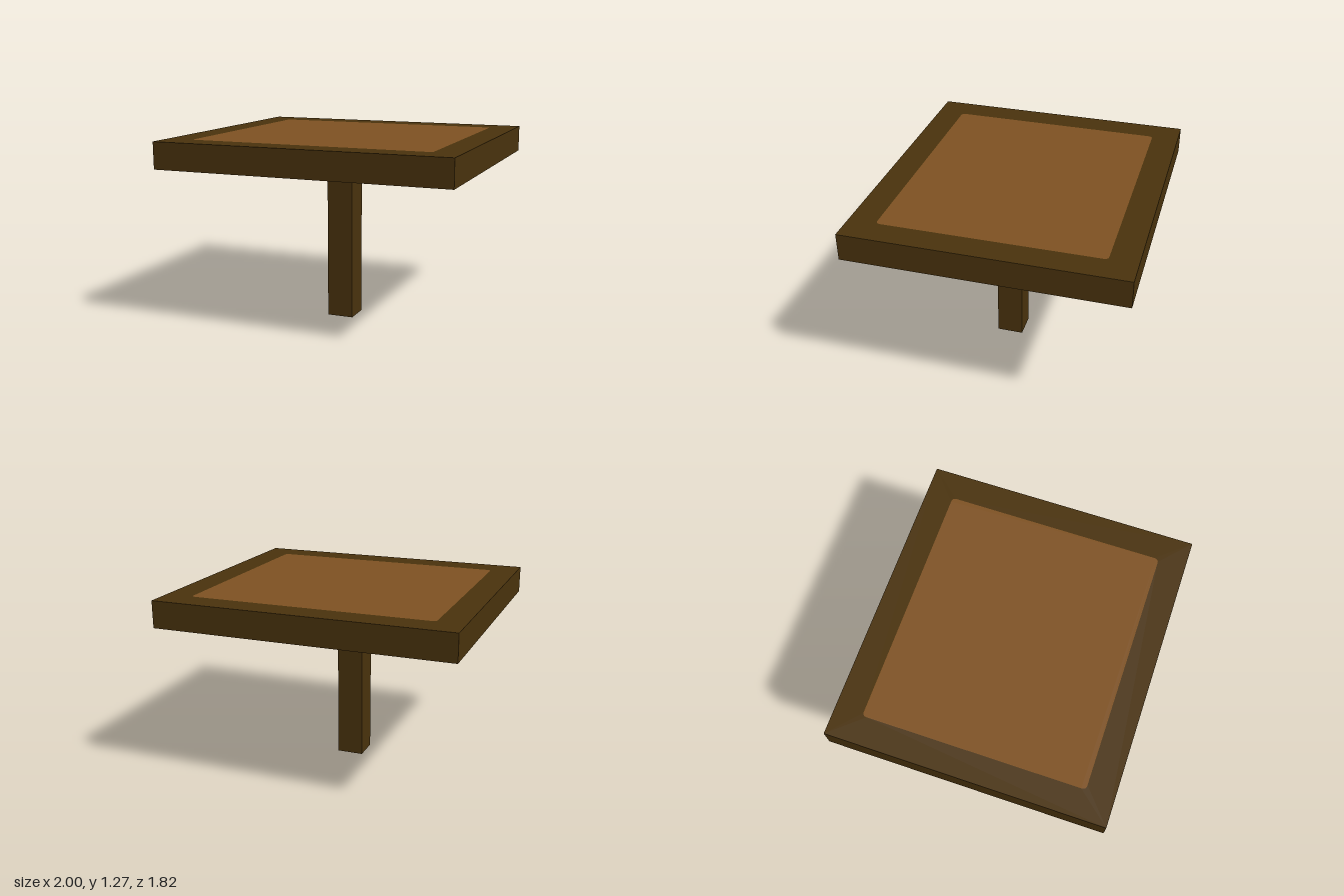
import * as THREE from 'three';

const U = 2 / 11; // width of one square post

// Rectangle path with optionally rounded corners, centred on the origin
function rectangle(PathType, w, d, r) {
  const p = new PathType();
  const x = w / 2, y = d / 2;
  p.moveTo(-x + r, -y);
  p.lineTo(x - r, -y);
  if (r) p.quadraticCurveTo(x, -y, x, -y + r);
  p.lineTo(x, y - r);
  if (r) p.quadraticCurveTo(x, y, x - r, y);
  p.lineTo(-x + r, y);
  if (r) p.quadraticCurveTo(-x, y, -x, y - r);
  p.lineTo(-x, -y + r);
  if (r) p.quadraticCurveTo(-x, -y, -x + r, -y);
  return p;
}

// Horizontal slab lying between y = 6U and y = 7U
function slab(shape, material, name) {
  const geometry = new THREE.ExtrudeGeometry(shape, { depth: U, bevelEnabled: false, curveSegments: 6 });
  geometry.rotateX(-Math.PI / 2);
  const mesh = new THREE.Mesh(geometry, material);
  mesh.position.y = 6 * U;
  mesh.name = name;
  return mesh;
}

export function createModel() {
  const darkWood = new THREE.MeshStandardMaterial({ color: 0x4a330d });
  darkWood.name = 'darkWood';
  const lightWood = new THREE.MeshStandardMaterial({ color: 0x7f5222 });
  lightWood.name = 'lightWood';

  const group = new THREE.Group();
  group.name = 'table';

  // Dark border around the top
  const border = rectangle(THREE.Shape, 11 * U, 10 * U, 0);
  border.holes.push(rectangle(THREE.Path, 9 * U, 8 * U, 0.03));
  group.add(slab(border, darkWood, 'tableBorder'));

  // Light panel filling the border, flush above and below
  group.add(slab(rectangle(THREE.Shape, 9 * U, 8 * U, 0.03), lightWood, 'tablePanel'));

  // Single square post, set just forward of the centre
  const leg = new THREE.Mesh(new THREE.BoxGeometry(U, 6 * U, U), darkWood);
  leg.position.set(0, 3 * U, U / 2);
  leg.name = 'leg';
  group.add(leg);

  return group;
}
